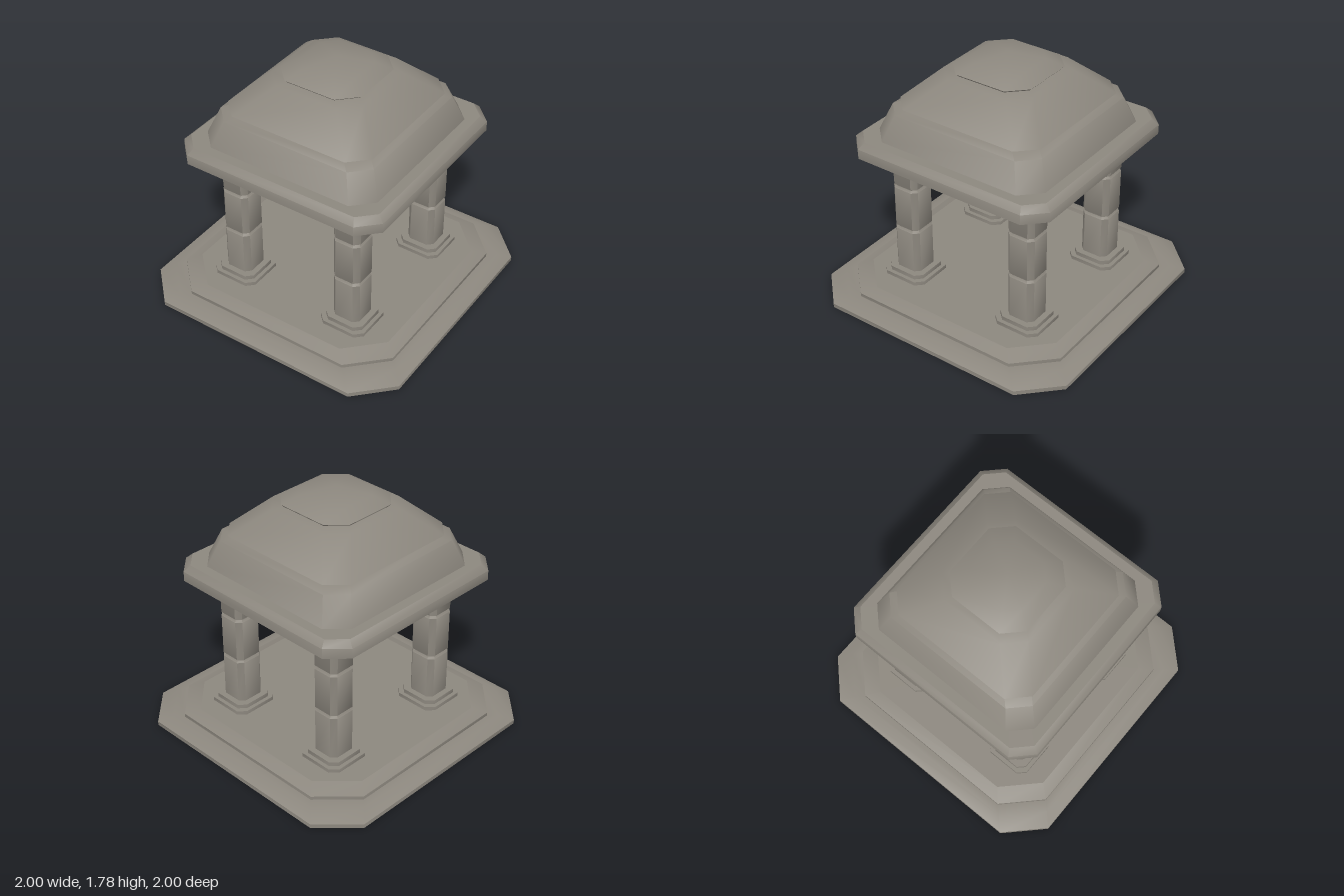
import * as THREE from 'three';
import { mergeGeometries, toCreasedNormals } from 'three/addons/utils/BufferGeometryUtils.js';

// Square with cut corners: half = half width, cut = corner cut.
function ring([half, cut, y]) {
  const h = half, k = half - cut;
  return [[h, -k], [h, k], [k, h], [-k, h], [-h, k], [-h, -k], [-k, -h], [k, -h]]
    .map(([x, z]) => new THREE.Vector3(x, y, z));
}

function fromTriangles(points) {
  const g = new THREE.BufferGeometry().setFromPoints(points);
  g.computeVertexNormals();
  return g;
}

// Skin through rings listed from bottom to top, closed by a flat cap on top.
function loft(profile) {
  const rings = profile.map(ring);
  const side = [], cap = [];
  for (let r = 0; r < rings.length - 1; r++) {
    for (let i = 0; i < 8; i++) {
      const j = (i + 1) % 8;
      const a = rings[r][i], b = rings[r][j], c = rings[r + 1][i], d = rings[r + 1][j];
      side.push(a, c, b, b, c, d);
    }
  }
  const top = rings[rings.length - 1];
  const centre = new THREE.Vector3(0, top[0].y, 0);
  for (let i = 0; i < 8; i++) cap.push(centre, top[(i + 1) % 8], top[i]);
  return mergeGeometries([toCreasedNormals(fromTriangles(side), 0.9), fromTriangles(cap)]);
}

export function createModel() {
  const model = new THREE.Group();
  model.name = 'pavilion';
  // Two-sided because the base and roof are hollow underneath
  const stone = new THREE.MeshStandardMaterial({ color: 0x8c877e, side: THREE.DoubleSide });
  stone.name = 'greyStone';

  const add = (parent, name, profile) => {
    const mesh = new THREE.Mesh(loft(profile), stone);
    mesh.name = name;
    parent.add(mesh);
  };

  // Stepped base, open below
  add(model, 'base', [
    [1, 0.24, 0], [1, 0.24, 0.03], [0.92, 0.24, 0.07], [0.865, 0.24, 0.07],
    [0.865, 0.24, 0.095], [0.78, 0.23, 0.13],
  ]);

  // Four columns on stepped plinths
  const shaft = [[0.103, 0.035, 0.187]];
  for (const y of [0.515, 0.843]) {
    shaft.push([0.103, 0.035, y - 0.014], [0.088, 0.03, y - 0.002],
      [0.088, 0.03, y + 0.002], [0.103, 0.035, y + 0.014]);
  }
  shaft.push([0.103, 0.035, 1.235]);
  for (const x of [-0.447, 0.447]) {
    for (const z of [-0.474, 0.474]) {
      const column = new THREE.Group();
      column.name = 'column';
      column.position.set(x, 0, z);
      add(column, 'plinth', [
        [0.171, 0.05, 0.13], [0.171, 0.05, 0.157], [0.144, 0.045, 0.157], [0.144, 0.045, 0.187],
      ]);
      add(column, 'shaft', shaft);
      model.add(column);
    }
  }

  // Roof: hollow cornice and three stacked tiers
  const roof = new THREE.Group();
  roof.name = 'roof';
  model.add(roof);
  add(roof, 'cornice', [[0.773, 0.13, 1.13], [0.773, 0.13, 1.2], [0.73, 0.11, 1.24]]);
  add(roof, 'lowerDome', [[0.662, 0.13, 1.24], [0.59, 0.12, 1.425], [0.525, 0.12, 1.447]]);
  add(roof, 'upperDome', [
    [0.53, 0.12, 1.444], [0.557, 0.125, 1.464], [0.35, 0.125, 1.662], [0.285, 0.12, 1.675],
  ]);
  add(roof, 'crown', [
    [0.29, 0.115, 1.67], [0.309, 0.12, 1.69], [0.21, 0.09, 1.748], [0.002, 0.001, 1.785],
  ]);

  return model;
}
